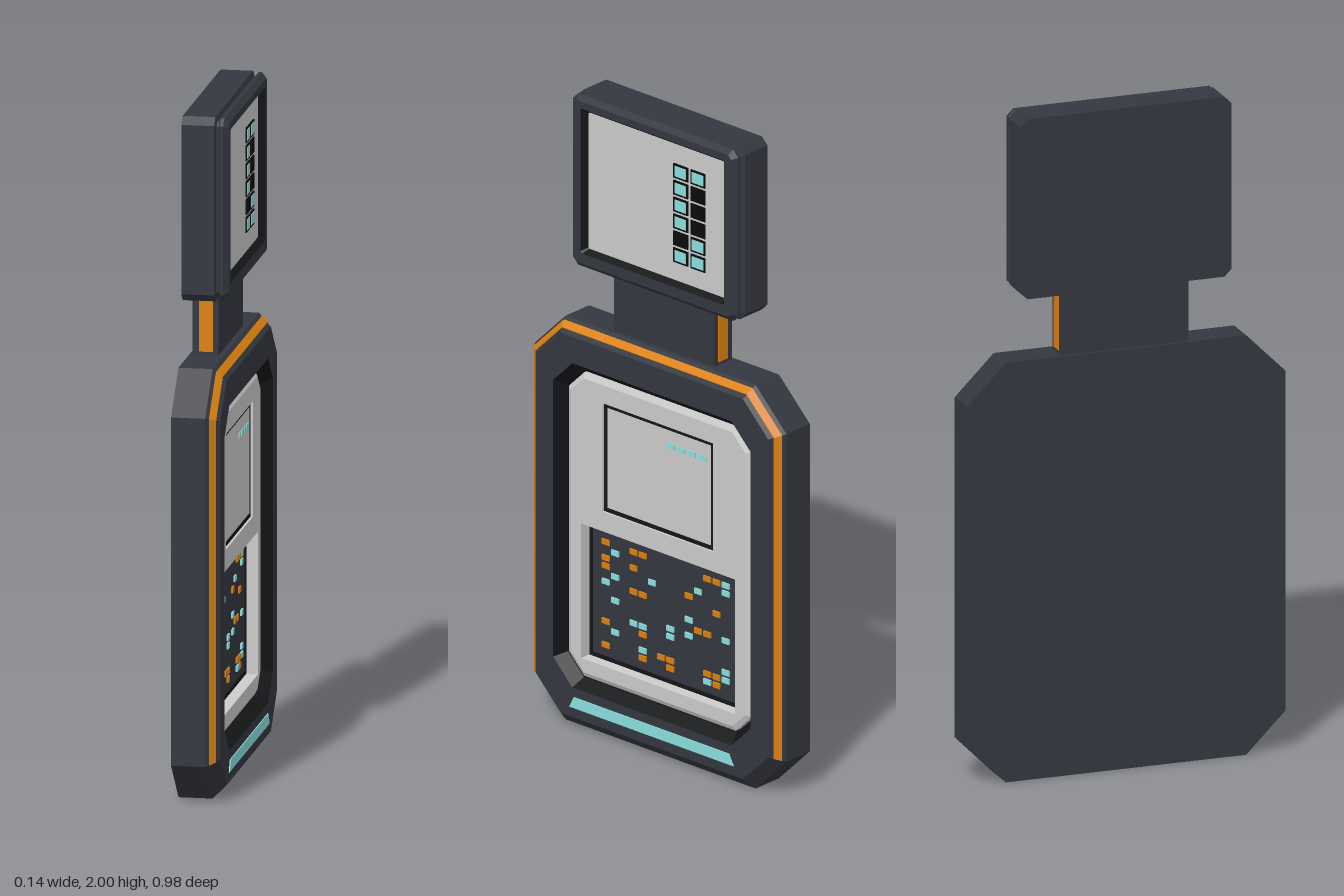
import * as THREE from 'three';

const mat = (color) => new THREE.MeshStandardMaterial({ color, flatShading: true });
const M = {
  dark: mat(0x34373f), trim: mat(0x141518), grey: mat(0xcccccc),
  orange: mat(0xdd8010), teal: mat(0x8adede), black: mat(0x0a0a0a),
};

// Chamfered rectangle, counter-clockwise from the lower right
const oct = (hw, y0, y1, c) => [
  [hw - c, y0], [hw, y0 + c], [hw, y1 - c], [hw - c, y1],
  [c - hw, y1], [-hw, y1 - c], [-hw, y0 + c], [c - hw, y0],
];
const inset = ([hw, y0, y1, c], d) => [hw - d, y0 + d, y1 - d, c - 0.586 * d];

// Bands between chamfered loops [shape, z]; optional caps and choice of sides
function loft(loops, { start = false, end = false, sides = [0, 1, 2, 3, 4, 5, 6, 7] } = {}) {
  const rings = loops.map(([s, z]) => oct(...s).map(([x, y]) => [x, y, z]));
  const pos = [];
  const tri = (a, b, c) => pos.push(...a, ...b, ...c);
  for (let k = 0; k + 1 < rings.length; k++) {
    for (const i of sides) {
      const j = (i + 1) % 8, a = rings[k], b = rings[k + 1];
      tri(a[i], a[j], b[j]);
      tri(a[i], b[j], b[i]);
    }
  }
  const first = rings[0], last = rings[rings.length - 1];
  for (let i = 1; i < 7; i++) {
    if (start) tri(first[0], first[i + 1], first[i]);
    if (end) tri(last[0], last[i], last[i + 1]);
  }
  const g = new THREE.BufferGeometry();
  g.setAttribute('position', new THREE.Float32BufferAttribute(pos, 3));
  g.computeVertexNormals();
  return g;
}

const rectPts = (x0, x1, y0, y1) => [[x0, y0], [x1, y0], [x1, y1], [x0, y1]].map((p) => new THREE.Vector2(...p));

// Plate with rectangular openings
function plate(points, holes, z, depth) {
  const shape = new THREE.Shape(points);
  for (const h of holes) shape.holes.push(new THREE.Path(rectPts(...h)));
  return new THREE.ExtrudeGeometry(shape, { depth, bevelEnabled: false }).translate(0, 0, z);
}
const frame = ([x0, x1, y0, y1], t, z, depth) =>
  plate(rectPts(x0, x1, y0, y1), [[x0 + t, x1 - t, y0 + t, y1 - t]], z, depth);

export function createModel() {
  const model = new THREE.Group();
  model.name = 'handheldDevice';
  const face = new THREE.Group(); // built facing +z, then turned to +x
  face.name = 'device';
  face.rotation.y = Math.PI / 2;
  model.add(face);

  const add = (name, geo, m, parent = face) => {
    const mesh = new THREE.Mesh(geo, m);
    mesh.name = name;
    parent.add(mesh);
    return mesh;
  };
  const box = (name, w, h, d, x, y, z, m, parent) =>
    add(name, new THREE.BoxGeometry(w, h, d), m, parent).position.set(x, y, z);
  const group = (name) => {
    const g = new THREE.Group();
    g.name = name;
    face.add(g);
    return g;
  };

  // Main housing with bevelled rim and recess
  const outer = [0.49, 0, 1.27, 0.12];
  const lip = [0.385, 0.13, 1.15, 0.075];
  const well = [0.36, 0.155, 1.12, 0.063];
  add('housing', loft([[outer, -0.07], [outer, 0.03], [inset(outer, 0.037), 0.068], [lip, 0.068]], { start: true }), M.dark);
  add('recessWall', loft([[lip, 0.068], [well, 0.032], [well, -0.002]], { end: true }), M.trim);

  // Orange line along the bevel, open at the bottom
  add('accentLine', loft([
    [inset(outer, 0.009), 0.039], [inset(outer, 0.007), 0.041],
    [inset(outer, 0.024), 0.058], [inset(outer, 0.026), 0.057],
  ], { sides: [1, 2, 3, 4, 5] }), M.orange);

  // Light bar below the recess
  const bar = new THREE.Shape([[-0.32, 0.068], [0.32, 0.068], [0.302, 0.102], [-0.302, 0.102]].map((p) => new THREE.Vector2(...p)));
  add('lightBar', new THREE.ExtrudeGeometry(bar, { depth: 0.005, bevelEnabled: false }).translate(0, 0, 0.066), M.teal);

  // Grey fascia with openings for the screen and the key board
  const screenHole = [-0.217, 0.213, 0.702, 1.043];
  const boardHole = [-0.3, 0.3, 0.217, 0.64];
  const fascia = [0.355, 0.16, 1.115, 0.06];
  const top = inset(fascia, 0.015);
  add('fasciaEdge', loft([[fascia, 0], [fascia, 0.033], [top, 0.041]]), M.grey);
  add('fascia', plate(oct(...top).map((p) => new THREE.Vector2(...p)), [screenHole, boardHole], 0, 0.041), M.grey);

  // Main screen
  add('screenFrame', frame(screenHole, 0.013, 0, 0.034), M.trim);
  box('screen', 0.404, 0.315, 0.03, -0.002, 0.8725, 0.018, M.grey);
  const dashes = group('screenDashes');
  for (let i = 0; i < 4; i++) box('dash', 0.029, 0.016, 0.003, 0.043 + i * 0.041, 0.981, 0.034, M.teal, dashes);

  // Key board with scattered lights
  box('board', 0.6, 0.423, 0.004, 0, 0.4285, 0.001, M.dark);
  add('boardFrame', frame(boardHole, 0.012, 0, 0.006), M.trim);
  const lights = group('boardLights');
  const rows = [
    'o..oo......oot', '.t...........t', 'o..o......t...', 'o....t...o....', '.t..........o.',
    't..oo.........', '.........t....', '.t........oo.t', '.......t.t....', '...tt..t......',
    'o...o.........', '.t...........t', '....t.oo...oot', 'o...o..o...to.',
  ];
  rows.forEach((row, r) => [...row].forEach((ch, c) => {
    if (ch !== '.') {
      box('light', 0.028, 0.017, 0.006, -0.236 + c * 0.0359, 0.589 - r * 0.0249, 0.005, ch === 'o' ? M.orange : M.teal, lights);
    }
  }));

  // Neck with an orange inlay on each side
  box('neck', 0.39, 0.23, 0.076, 0, 1.3625, -0.023, M.dark);
  for (const s of [-1, 1]) box('neckInlay', 0.006, 0.165, 0.04, s * 0.195, 1.3625, -0.021, M.orange);

  // Head: back shell, seam groove, front bezel
  const head = [0.325, 1.455, 2, 0.022];
  const bezel = [0.28, 1.505, 1.96, 0.006];
  const glass = [0.266, 1.517, 1.946, 0.004];
  add('headShell', loft([
    [head, -0.07], [head, 0.026], [inset(head, 0.014), 0.031], [inset(head, 0.014), 0.037],
    [inset(head, 0.003), 0.042], [inset(head, 0.003), 0.052], [inset(head, 0.018), 0.066], [bezel, 0.066],
  ], { start: true }), M.dark);
  add('headBezelWall', loft([[bezel, 0.066], [glass, 0.046]]), M.trim);
  add('headScreen', loft([[glass, 0.04], [glass, 0.046]], { end: true }), M.grey);

  // Two columns of indicator buttons
  const buttons = group('headButtons');
  ['tt', 'tb', 'tb', 'tb', 'bt', 'tt'].forEach((row, r) => [...row].forEach((ch, c) => {
    const x = 0.094 + c * 0.068, y = 1.862 - r * 0.053;
    box('buttonBorder', 0.056, 0.045, 0.005, x, y, 0.047, M.black, buttons);
    box('button', 0.044, 0.033, 0.008, x, y, 0.047, ch === 't' ? M.teal : M.black, buttons);
  }));

  return model;
}
